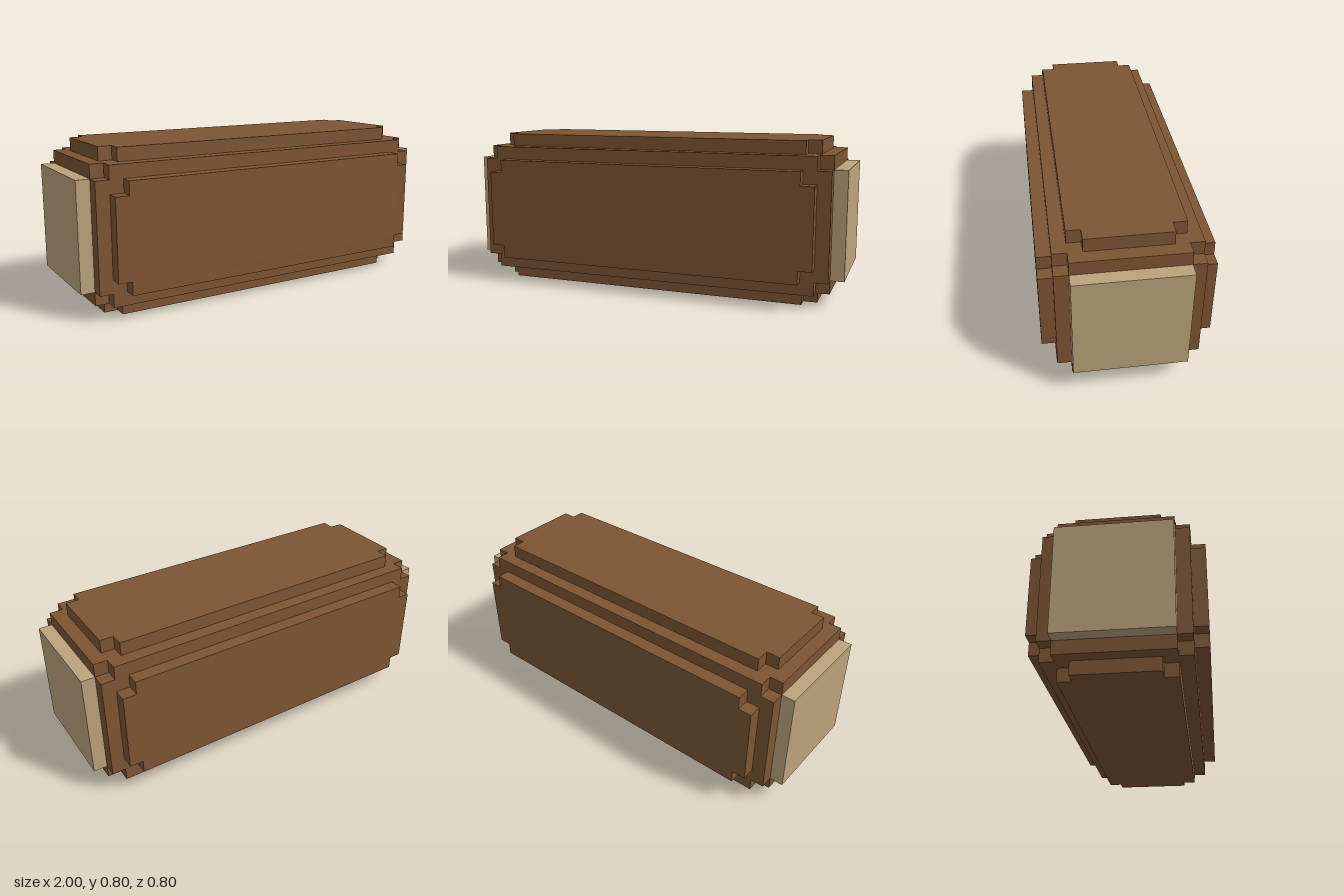
import * as THREE from 'three';

const U = 1 / 15; // one block unit

export function createModel() {
  const bark = new THREE.MeshStandardMaterial({ color: 0x7d5533 });
  const cutWood = new THREE.MeshStandardMaterial({ color: 0xbca27c });
  const model = new THREE.Group();
  model.name = 'log';

  const add = (name, geometry, material) => {
    const mesh = new THREE.Mesh(geometry, material);
    mesh.name = name;
    mesh.position.y = 6 * U;
    model.add(mesh);
    return mesh;
  };

  // Rectangle with one square unit cut from each corner, one unit thick,
  // lying at distance d along +z
  const notchedPlate = (w, h, d) => {
    const corners = [
      [w, -h + 1], [w, h - 1], [w - 1, h - 1], [w - 1, h],
      [-w + 1, h], [-w + 1, h - 1], [-w, h - 1], [-w, -h + 1],
      [-w + 1, -h + 1], [-w + 1, -h], [w - 1, -h], [w - 1, -h + 1],
    ];
    const shape = new THREE.Shape(corners.map(([x, y]) => new THREE.Vector2(x * U, y * U)));
    return new THREE.ExtrudeGeometry(shape, { depth: U, bevelEnabled: false }).translate(0, 0, d * U);
  };

  // Solid middle of the log
  add('core', new THREE.BoxGeometry(26 * U, 10 * U, 10 * U), bark);

  // Raised bark on the four long sides
  ['frontBark', 'bottomBark', 'backBark', 'topBark'].forEach((name, i) => {
    add(name, notchedPlate(13, 4, 5).rotateX(i * Math.PI / 2), bark);
  });

  // Bark rim and pale cut face on each end
  for (const [side, s] of [['left', 1], ['right', -1]]) {
    add(side + 'EndRim', notchedPlate(5, 5, 13).rotateY(s * Math.PI / 2), bark);
    add(side + 'CutFace', new THREE.BoxGeometry(U, 8 * U, 8 * U), cutWood).position.x = s * 14.5 * U;
  }
  return model;
}
